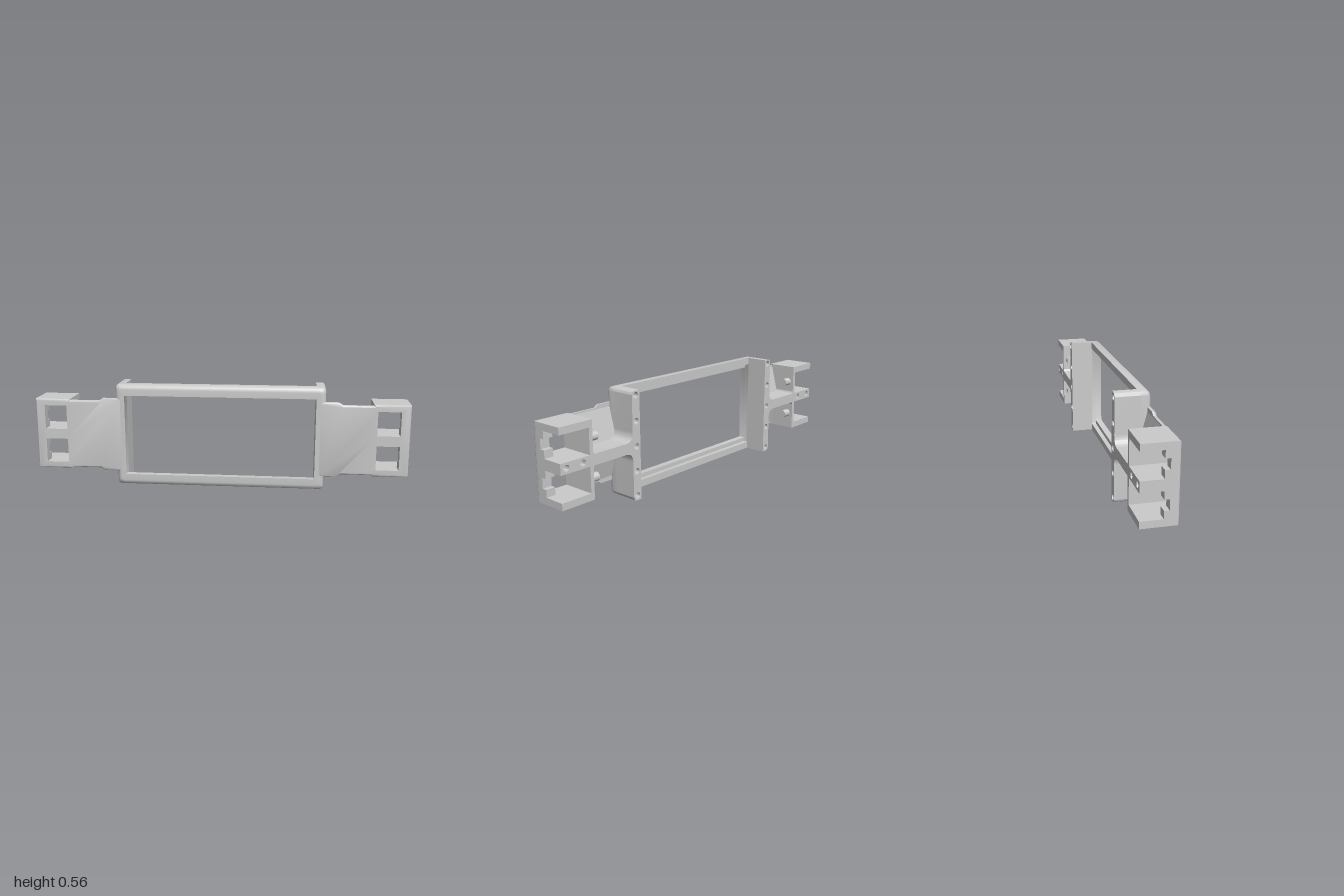
import * as THREE from 'three';
import { toCreasedNormals } from 'three/addons/utils/BufferGeometryUtils.js';

const material = new THREE.MeshStandardMaterial({ color: 0xcccccc });
const HALF_H = 0.2775, BACK = -0.09, FRONT = 0.09;

function part(name, geometry, crease = 0.6) {
  const mesh = new THREE.Mesh(toCreasedNormals(geometry, crease), material);
  mesh.name = name;
  return mesh;
}

const polygon = (pts) => new THREE.Shape(pts.map(([x, y]) => new THREE.Vector2(x, y)));

function rectPath(x0, x1, y0, y1) {
  return new THREE.Path([[x0, y0], [x0, y1], [x1, y1], [x1, y0]].map(([x, y]) => new THREE.Vector2(x, y)));
}

function circlePath(x, y, r) {
  const path = new THREE.Path();
  path.absarc(x, y, r, 0, Math.PI * 2, true);
  return path;
}

// Extrudes an x-y shape between two z levels
function slab(shape, z0, z1) {
  return new THREE.ExtrudeGeometry(shape, { depth: z1 - z0, bevelEnabled: false, curveSegments: 12 }).translate(0, 0, z0);
}

// Rounded rectangle as a counter-clockwise ring of points
function ring(hx, hy, r, z) {
  const pts = [];
  [[1, 1], [-1, 1], [-1, -1], [1, -1]].forEach(([sx, sy], corner) => {
    for (let i = 0; i <= 6; i++) {
      const a = (corner + i / 6) * Math.PI / 2;
      pts.push([sx * (hx - r) + r * Math.cos(a), sy * (hy - r) + r * Math.sin(a), z]);
    }
  });
  return pts;
}

// Skins a closed sequence of rings
function loft(rings) {
  const pos = [], n = rings[0].length;
  rings.forEach((a, k) => {
    const b = rings[(k + 1) % rings.length];
    for (let i = 0; i < n; i++) {
      const j = (i + 1) % n;
      pos.push(...a[i], ...a[j], ...b[j], ...a[i], ...b[j], ...b[i]);
    }
  });
  const g = new THREE.BufferGeometry();
  g.setAttribute('position', new THREE.Float32BufferAttribute(pos, 3));
  return g;
}

// Window frame: rounded front edge outside, stepped rebate at the back inside
function frameGeometry() {
  const rings = [ring(0.56, HALF_H, 0.02, 0.03)], r = 0.028;
  for (let i = 0; i <= 6; i++) {
    const a = i / 6 * Math.PI / 2, inset = r * (1 - Math.cos(a));
    rings.push(ring(0.56 - inset, HALF_H - inset, 0.02, FRONT - r + r * Math.sin(a)));
  }
  rings.push(ring(0.51, 0.2175, 0.002, FRONT), ring(0.51, 0.2175, 0.002, 0.055),
    ring(0.51, 0.24, 0.002, 0.055), ring(0.51, 0.24, 0.002, 0.03));
  return loft(rings);
}

// Deep side wall with five blind screw holes in its back edge
function sideWallGeometry() {
  const r = 0.02, s = new THREE.Shape();
  s.moveTo(0.51, -HALF_H);
  s.lineTo(0.56 - r, -HALF_H);
  s.absarc(0.56 - r, -HALF_H + r, r, -Math.PI / 2, 0, false);
  s.lineTo(0.56, HALF_H - r);
  s.absarc(0.56 - r, HALF_H - r, r, 0, Math.PI / 2, false);
  s.lineTo(0.51, HALF_H);
  for (let i = -2; i <= 2; i++) s.holes.push(circlePath(0.535, i * 0.127, 0.016));
  return slab(s, BACK, 0.035);
}

// Ear dimensions
const X0 = 0.81, XW0 = 0.83, XW1 = 0.95, EAR = 0.193;
const WINDOWS = [[-0.1575, -0.0275], [0.0275, 0.1575]];
const NOTCHES = [[-0.1195, -0.0675], [0.0675, 0.1195]];

// Thin front plate with softened outer edge and two sharp windows
function earPlateGeometry() {
  const upper = [[1, EAR], [X0, EAR], [X0, 0.187], [0.65, 0.187], [0.63, 0.201], [0.525, 0.201]];
  const s = polygon([...upper.map(([x, y]) => [x, -y]).reverse(), ...upper]);
  WINDOWS.forEach(([a, b]) => s.holes.push(rectPath(XW0, XW1, a, b)));
  const b = 0.01, zBack = 0.07;
  const g = new THREE.ExtrudeGeometry(s, {
    depth: FRONT - zBack - b, bevelSize: b, bevelThickness: b, bevelOffset: -b, bevelSegments: 4,
  }).translate(0, 0, zBack);
  // Keep the back flat and the windows straight
  const p = g.attributes.position, t = b + 0.002;
  for (let i = 0; i < p.count; i++) {
    const x = p.getX(i), y = p.getY(i);
    p.setZ(i, Math.max(p.getZ(i), zBack));
    for (const [y0, y1] of WINDOWS) {
      if (x > XW0 - t && x < XW1 + t && y > y0 - t && y < y1 + t) {
        p.setXY(i, THREE.MathUtils.clamp(x, XW0, XW1), THREE.MathUtils.clamp(y, y0, y1));
      }
    }
  }
  return g;
}

// Box outline whose pockets open to the outer end through slots
function pocketShape(slots) {
  const pts = [[X0, -EAR], [1, -EAR]];
  WINDOWS.forEach(([y0, y1], i) => {
    const [s0, s1] = slots[i];
    pts.push([1, s0]);
    if (s0 > y0) pts.push([XW1, s0], [XW1, y0]);
    pts.push([XW0, y0], [XW0, y1]);
    if (s1 < y1) pts.push([XW1, y1], [XW1, s1]);
    pts.push([1, s1]);
  });
  pts.push([1, EAR], [X0, EAR]);
  return polygon(pts);
}

// Middle rib, flared where it meets the wall and the box
function ribGeometry() {
  const h = 0.0275, s = new THREE.Shape();
  s.moveTo(0.55, -h - 0.045);
  s.lineTo(0.56, -h - 0.045);
  s.quadraticCurveTo(0.562, -h, 0.605, -h);
  s.lineTo(0.795, -h);
  s.quadraticCurveTo(X0, -h, X0, -h - 0.015);
  s.lineTo(0.82, -h - 0.015);
  s.lineTo(0.82, h + 0.015);
  s.lineTo(X0, h + 0.015);
  s.quadraticCurveTo(X0, h, 0.795, h);
  s.lineTo(0.605, h);
  s.quadraticCurveTo(0.562, h, 0.56, h + 0.045);
  s.lineTo(0.55, h + 0.045);
  return slab(s, BACK, 0.072);
}

function createEar(name) {
  const ear = new THREE.Group();
  ear.name = name;
  ear.add(part('earPlate', earPlateGeometry()));

  // Pocket box in three depth layers
  const closed = polygon([[X0, -EAR], [1, -EAR], [1, EAR], [X0, EAR]]);
  WINDOWS.forEach(([a, b]) => closed.holes.push(rectPath(XW0, XW1, a, b)));
  const open = pocketShape(WINDOWS);
  [0.87, 0.966].forEach((x) => open.holes.push(circlePath(x, 0, 0.016)));
  ear.add(part('boxFront', slab(closed, 0.045, 0.072)));
  ear.add(part('boxLedge', slab(pocketShape(NOTCHES), 0.02, 0.045)));
  ear.add(part('boxPockets', slab(open, BACK, 0.02)));

  // Sloped web thickening the plate toward the rib (profile in z-y, run along x)
  const web = polygon([[-0.072, -0.187], [-0.072, 0.187], [-0.03, 0.0275], [-0.03, -0.0275]].reverse());
  ear.add(part('slopedWeb', slab(web, 0.55, 0.815).rotateY(Math.PI / 2), 0.1));
  ear.add(part('middleRib', ribGeometry()));

  // Pegs on the inner face of the box
  for (const y of [-0.1, 0.1]) {
    const peg = new THREE.CylinderGeometry(0.022, 0.022, 0.055, 24).rotateZ(Math.PI / 2);
    ear.add(part('peg', peg.translate(0.7875, y, -0.052)));
  }
  return ear;
}

export function createModel() {
  const model = new THREE.Group();
  model.name = 'mountingBezel';
  const body = new THREE.Group();
  body.name = 'body';
  body.position.y = HALF_H;
  body.add(part('windowFrame', frameGeometry()));
  // Both halves are the same, turned half a revolution about z
  ['left', 'right'].forEach((side, i) => {
    const half = new THREE.Group();
    half.name = side + 'Side';
    half.rotation.z = i * Math.PI;
    half.add(part('sideWall', sideWallGeometry()), createEar('ear'));
    body.add(half);
  });
  model.add(body);
  return model;
}
